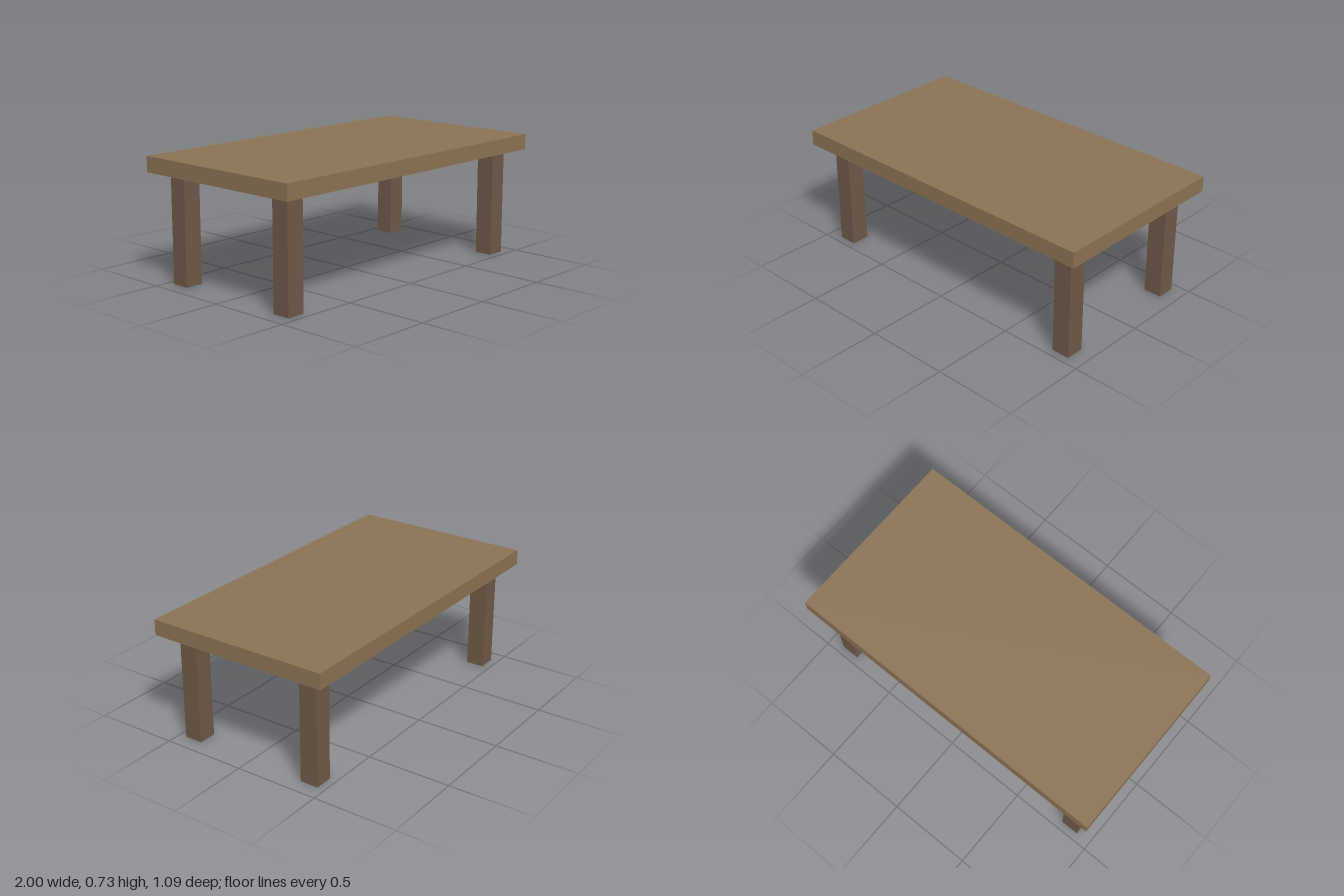
import * as THREE from 'three';

export function createModel() {
  const table = new THREE.Group();
  table.name = 'table';

  const topMaterial = new THREE.MeshStandardMaterial({ color: 0x8b7355 });
  const legMaterial = new THREE.MeshStandardMaterial({ color: 0x6f5a48 });

  const height = 0.727, thickness = 0.091, legWidth = 0.109;
  const legHeight = height - thickness;

  // Rectangular slab
  const top = new THREE.Mesh(new THREE.BoxGeometry(2, thickness, 1.091), topMaterial);
  top.name = 'tableTop';
  top.position.y = height - thickness / 2;
  table.add(top);

  // Four square legs, set in from the corners
  const legGeometry = new THREE.BoxGeometry(legWidth, legHeight, legWidth);
  for (const [side, x] of [['Left', 0.855], ['Right', -0.855]]) {
    for (const [end, z] of [['front', 0.4], ['back', -0.4]]) {
      const leg = new THREE.Mesh(legGeometry, legMaterial);
      leg.name = `${end}${side}Leg`;
      leg.position.set(x, legHeight / 2, z);
      table.add(leg);
    }
  }

  return table;
}
